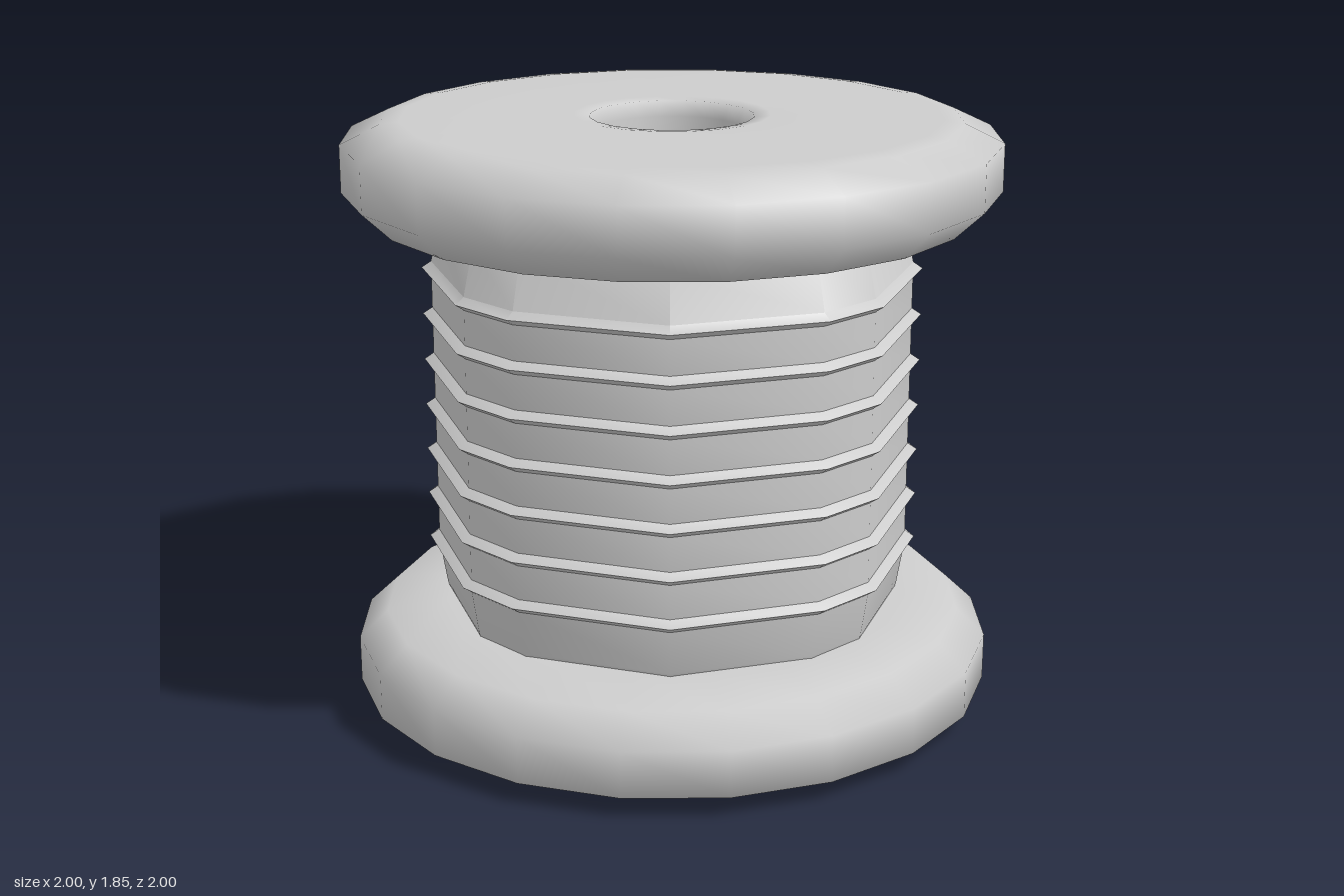
import * as THREE from 'three';
import { toCreasedNormals } from 'three/addons/utils/BufferGeometryUtils.js';

const HEIGHT = 1.85;
const rad = THREE.MathUtils.degToRad;
const vec = ([r, y]) => new THREE.Vector2(r, y);

export function createModel() {
  const group = new THREE.Group();
  const grey = new THREE.MeshStandardMaterial({ color: 0xcccccc });
  grey.name = 'plain grey';

  const add = (name, geometry) => {
    const mesh = new THREE.Mesh(geometry, grey);
    mesh.name = name;
    group.add(mesh);
  };

  // Flanges: rounded discs with a bevelled hole, the upper mirrors the lower
  const disc = [
    [0.225, 0.32], [0.225, 0.05], [0.25, 0.005], [0.3, 0], [0.82, 0], [0.88, 0.008],
    [1, 0.065], [1, 0.21], [0.91, 0.295], [0.72, 0.32], [0.225, 0.32],
  ];
  const flip = disc.map(([r, y]) => [r, HEIGHT - y]).reverse();
  const flange = (profile) => new THREE.LatheGeometry(profile.map(vec), 20, rad(2));
  add('lowerFlange', flange(disc));
  add('upperFlange', flange(flip));

  // Wound core: closed drum with seven thin ridges
  const profile = [[0, 0.315], [0.715, 0.315], [0.72, 0.33]];
  for (let i = 0; i < 7; i++) {
    const y = 0.49 + i * 0.1467;
    profile.push([0.743, y - 0.02], [0.772, y], [0.743, y + 0.02]);
  }
  profile.push([0.71, 1.53], [0.705, 1.535], [0, 1.535]);
  const core = new THREE.LatheGeometry(profile.map(vec), 12);

  // Uneven facets: two wide sides and one narrow side per quarter turn
  const pos = core.attributes.position;
  for (let i = 0; i <= 12; i++) {
    const a = rad([9, 46, 82][i % 3] + 90 * Math.floor(i / 3));
    profile.forEach(([r, y], j) => {
      pos.setXYZ(i * profile.length + j, r * Math.sin(a), y, r * Math.cos(a));
    });
  }
  add('woundCore', toCreasedNormals(core, rad(42)));

  return group;
}
